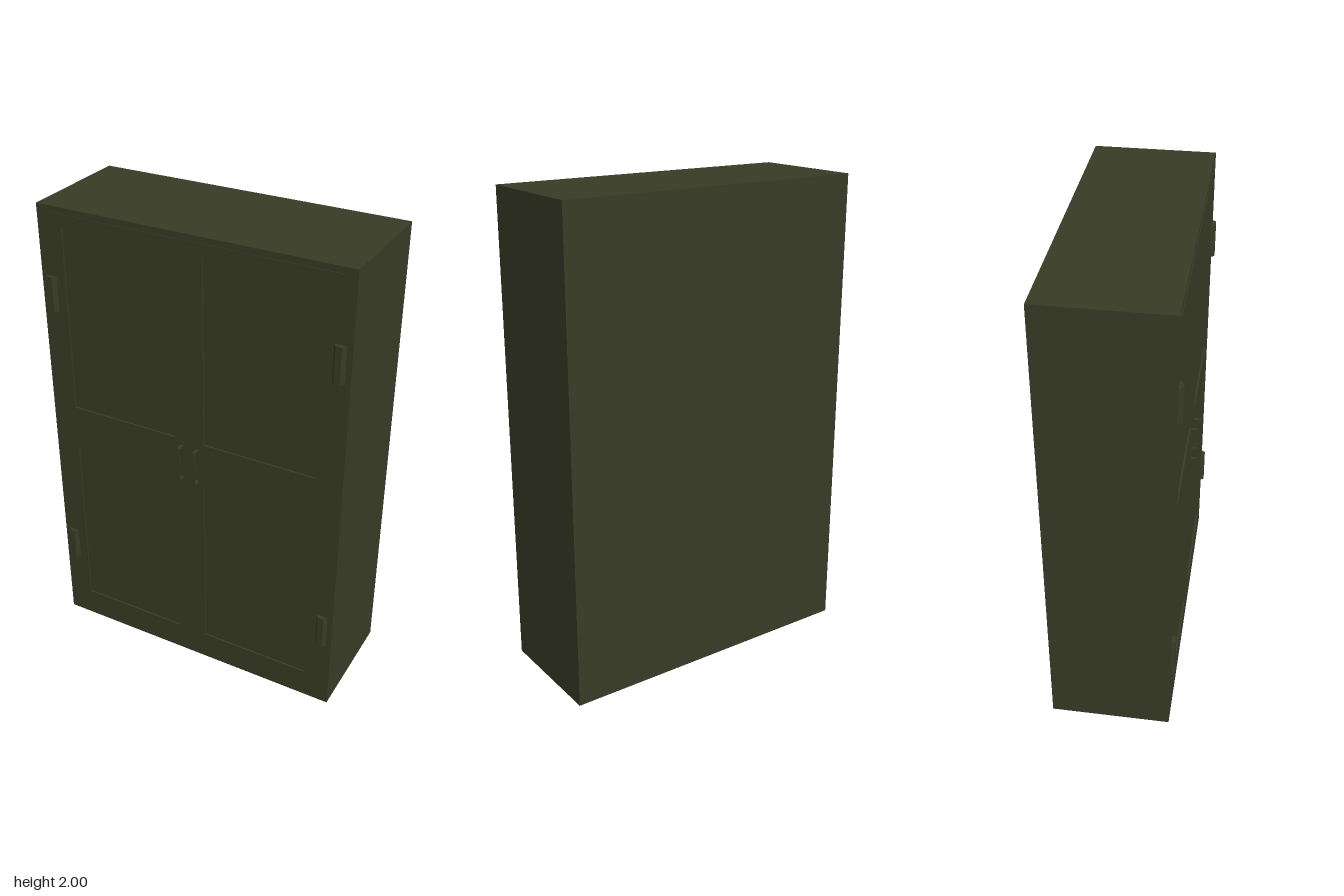
import * as THREE from 'three';

export function createModel() {
  const model = new THREE.Group();
  model.name = 'cabinet';
  const paint = new THREE.MeshStandardMaterial({ color: 0x373b25 });
  paint.name = 'dark olive paint';

  const add = (name, geometry, x, y, z, parent = model) => {
    const mesh = new THREE.Mesh(geometry, paint);
    mesh.name = name;
    mesh.position.set(x, y, z);
    parent.add(mesh);
    return mesh;
  };
  const box = (name, w, h, d, x, y, z, parent) =>
    add(name, new THREE.BoxGeometry(w, h, d), x, y, z, parent);
  const polygon = (points) => points.map(([x, y]) => new THREE.Vector2(x, y));
  const rect = (x0, y0, x1, y1) => polygon([[x0, y0], [x1, y0], [x1, y1], [x0, y1]]);

  const FRONT = 0.235, RECESS = 0.008;

  // Carcass; its front forms the floor of the recessed panels
  const depth = FRONT - RECESS + 0.266;
  box('carcass', 1.32, 2, depth, 0, 1, -0.266 + depth / 2);

  // Door face with four recessed panels
  const face = new THREE.Shape(rect(-0.66, 0, 0.66, 2));
  for (const [x0, x1] of [[-0.552, -0.068], [0.063, 0.547]]) {
    for (const [y0, y1] of [[0.127, 0.922], [1.127, 1.922]]) {
      face.holes.push(new THREE.Path(rect(x0, y0, x1, y1).reverse()));
    }
  }
  add('doorFace', new THREE.ExtrudeGeometry(face, { depth: RECESS, bevelEnabled: false }),
    0, 0, FRONT - RECESS);

  // Thin ledge along the top of the doors
  box('topLedge', 1.23, 0.007, 0.003, -0.003, 1.971, FRONT + 0.0014);

  // Hinges: bevelled knuckles, two on each side
  const hingeProfile = new THREE.Shape(polygon([
    [-0.025, 0], [0.025, 0], [0.012, 0.017], [-0.012, 0.017]]));
  const hingeGeometry = new THREE.ExtrudeGeometry(hingeProfile, { depth: 0.15, bevelEnabled: false });
  hingeGeometry.rotateX(Math.PI / 2).scale(1, 1, 1);
  for (const x of [-0.617, 0.613]) {
    for (const top of [0.47, 1.71]) {
      add('hinge', hingeGeometry, x, top, FRONT);
    }
  }

  // Pull handles: upright bar on two short posts
  for (const x of [-0.037, 0.033]) {
    const handle = new THREE.Group();
    handle.name = 'handle';
    handle.position.set(x, 1.022, FRONT);
    model.add(handle);
    box('handleBar', 0.013, 0.156, 0.006, 0, 0, 0.028, handle);
    for (const side of [-1, 1]) {
      box('handlePost', 0.013, 0.006, 0.026, 0, side * 0.075, 0.0125, handle);
    }
  }
  return model;
}
